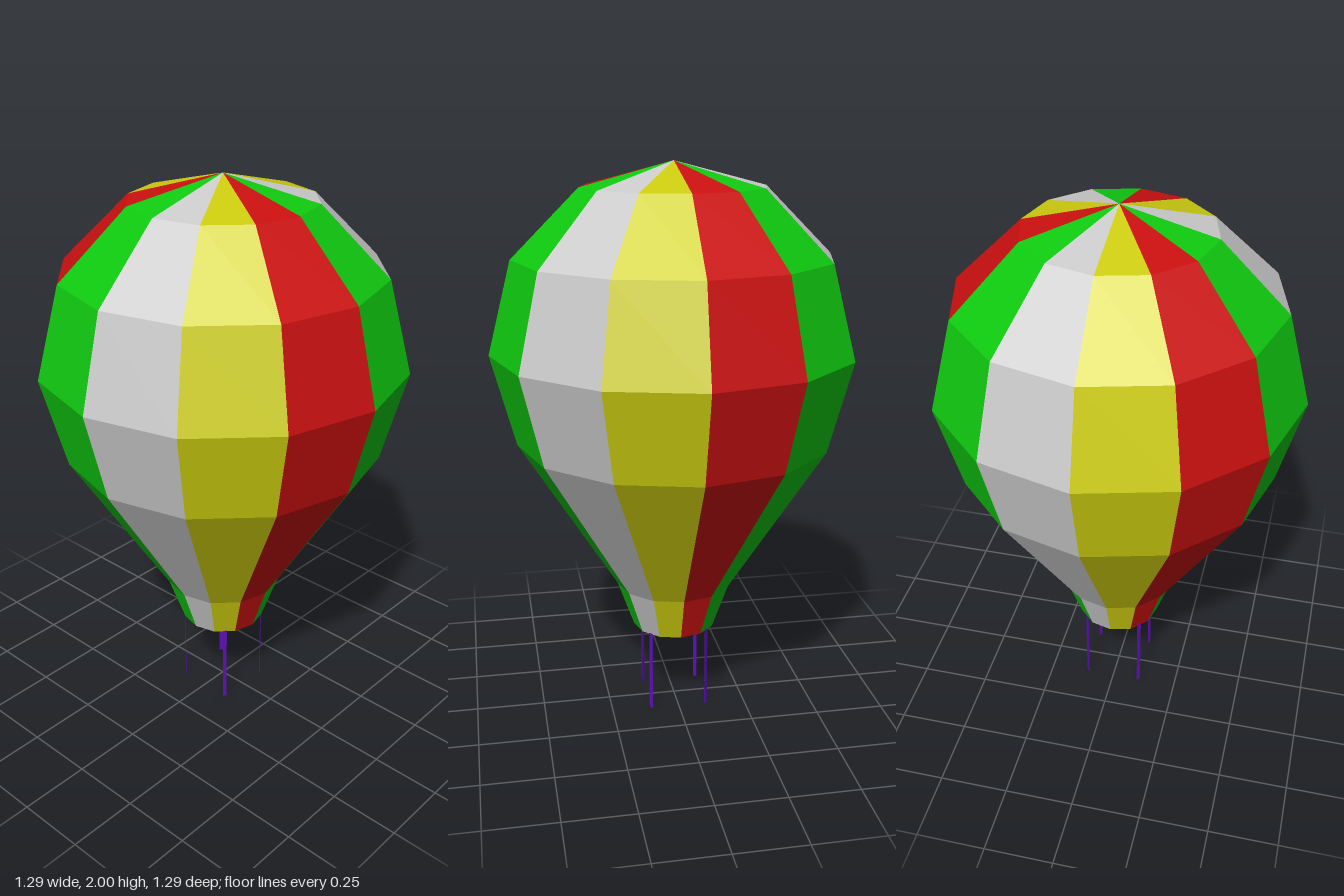
import * as THREE from 'three';

const GORES = 12;
const STEP = (Math.PI * 2) / GORES;

// Envelope profile from the mouth up to the crown: [radius, height]
const PROFILE = [
  [0.152, 0.305], [0.212, 0.475], [0.56, 1.03], [0.645, 1.355],
  [0.56, 1.68], [0.323, 1.915], [0, 2],
].map(([r, y]) => new THREE.Vector2(r, y));

const flat = (color) => new THREE.MeshStandardMaterial({ color, flatShading: true });

export function createModel() {
  const model = new THREE.Group();
  model.name = 'hotAirBalloon';

  // Envelope: twelve flat-sided gores in four repeating colours
  const envelope = new THREE.Group();
  envelope.name = 'envelope';
  const cloth = [0x10cc10, 0xcccccc, 0xcccc10, 0xcc1010].map(flat);
  for (let i = 0; i < GORES; i++) {
    const gore = new THREE.Mesh(
      new THREE.LatheGeometry(PROFILE, 1, i * STEP, STEP), cloth[i % cloth.length]);
    gore.name = 'gore' + (i + 1);
    envelope.add(gore);
  }
  model.add(envelope);

  // Grey lining: the same profile reversed so it faces inwards
  const inner = PROFILE.map((p) => new THREE.Vector2(Math.max(p.x - 0.002, 0), p.y)).reverse();
  const lining = new THREE.Mesh(new THREE.LatheGeometry(inner, GORES), flat(0xcccccc));
  lining.name = 'lining';
  model.add(lining);

  // Four flat straps hanging from the mouth, each facing outwards
  const strapGeometry = new THREE.BoxGeometry(0.015, 0.31, 0.002);
  const strapMaterial = flat(0x5a10b0);
  for (let i = 0; i < 4; i++) {
    const angle = Math.PI / 4 + (i * Math.PI) / 2;
    const strap = new THREE.Mesh(strapGeometry, strapMaterial);
    strap.name = 'strap' + (i + 1);
    strap.position.set(Math.sin(angle) * 0.147, 0.155, Math.cos(angle) * 0.147);
    strap.rotation.y = angle;
    model.add(strap);
  }

  return model;
}
